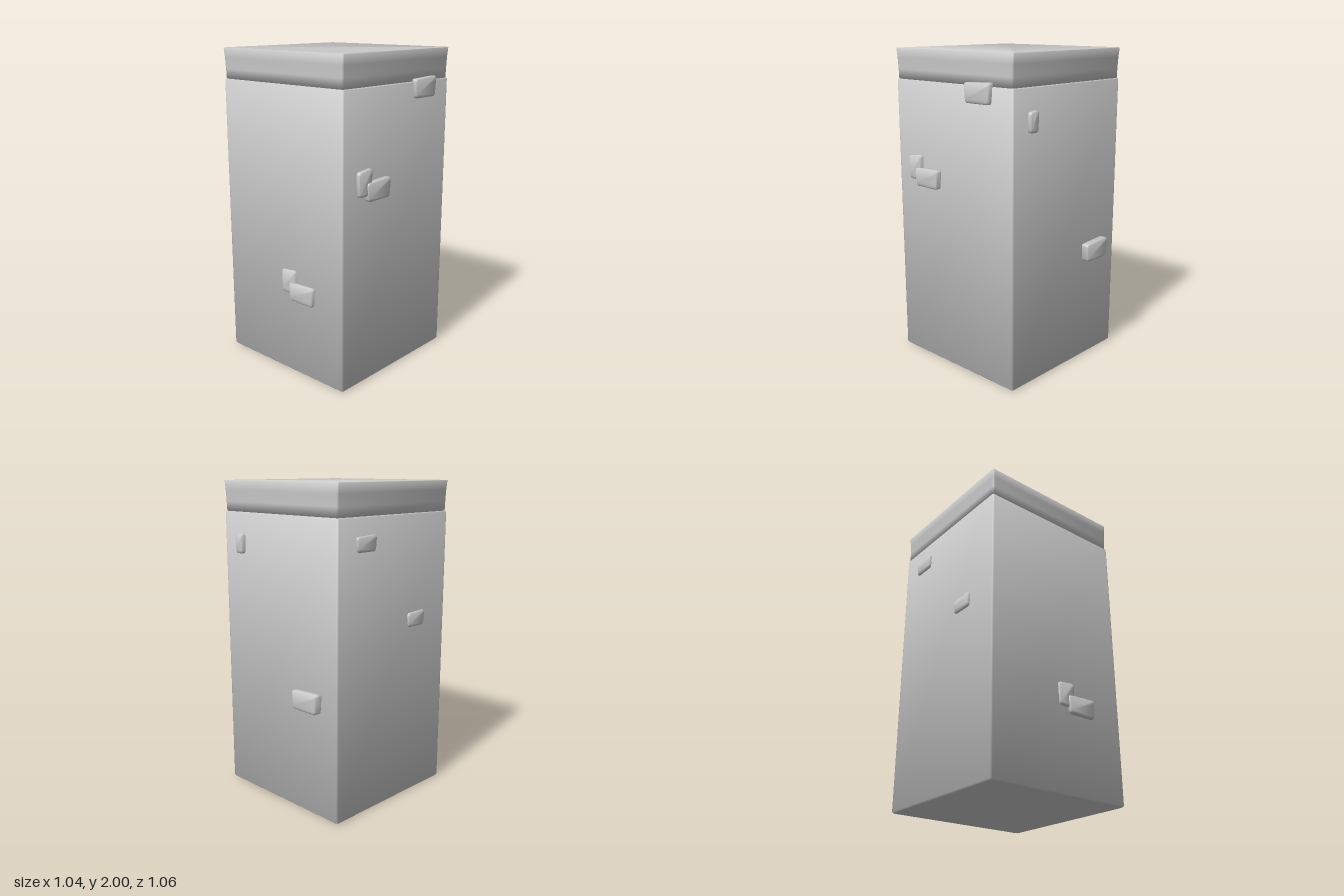
import * as THREE from 'three';

const material = new THREE.MeshStandardMaterial({ color: 0xcccccc, roughness: 0.8 });

// Quad outline (counter-clockwise) shrunk by inset, with each corner rounded
function roundedLoop(corners, radius, inset = 0) {
  const c = corners.map(([x, y]) => new THREE.Vector2(x - Math.sign(x) * inset, y - Math.sign(y) * inset));
  const loop = [];
  c.forEach((p, i) => {
    const towards = (q) => p.clone().add(q.clone().sub(p).setLength(radius));
    const a = towards(c[(i + 3) % 4]);
    const b = towards(c[(i + 1) % 4]);
    const mid = a.clone().add(b).multiplyScalar(0.25).addScaledVector(p, 0.5);
    loop.push(a, mid, b);
  });
  return loop;
}

// Closed solid through [loop, z] sections, smooth-shaded with angle-weighted normals
function loft(sections) {
  const points = sections.flatMap(([loop, z]) => loop.map((p) => new THREE.Vector3(p.x, p.y, z)));
  const n = sections[0][0].length;
  const index = [];
  for (let s = 0; s < sections.length - 1; s++) {
    for (let i = 0; i < n; i++) {
      const a = s * n + i;
      const b = s * n + ((i + 1) % n);
      index.push(a, b, b + n, a, b + n, a + n);
    }
  }
  const last = (sections.length - 1) * n;
  for (let i = 1; i < n - 1; i++) {
    index.push(0, i + 1, i, last, last + i, last + i + 1);
  }
  const normals = points.map(() => new THREE.Vector3());
  for (let t = 0; t < index.length; t += 3) {
    for (let k = 0; k < 3; k++) {
      const v = index[t + k];
      const e1 = points[index[t + ((k + 1) % 3)]].clone().sub(points[v]);
      const e2 = points[index[t + ((k + 2) % 3)]].clone().sub(points[v]);
      const angle = e1.angleTo(e2);
      normals[v].addScaledVector(e1.cross(e2).normalize(), angle);
    }
  }
  normals.forEach((v) => v.normalize());
  const geometry = new THREE.BufferGeometry();
  const flat = (list) => new THREE.Float32BufferAttribute(list.flatMap((v) => v.toArray()), 3);
  geometry.setAttribute('position', flat(points));
  geometry.setAttribute('normal', flat(normals));
  geometry.setIndex(index);
  return geometry;
}

const square = (h) => [[-h, -h], [h, -h], [h, h], [-h, h]];

// Square block from [halfWidth, height] levels, standing upright
function block(name, levels) {
  const geometry = loft(levels.map(([h, y]) => [roundedLoop(square(h), 0.012), y]));
  const mesh = new THREE.Mesh(geometry.rotateX(-Math.PI / 2), material);
  mesh.name = name;
  return mesh;
}

const HALF = 0.497;

// Slightly skewed stone with bevelled face, proud of a wall by depth
function brick(name, turn, u, y, w, h, depth) {
  const quad = [[-0.455 * w, -0.5 * h], [0.455 * w, -0.5 * h], [0.5 * w, 0.5 * h], [-0.5 * w, 0.42 * h]];
  const bevel = 0.008;
  const geometry = loft([
    [roundedLoop(quad, 0.016), -0.02],
    [roundedLoop(quad, 0.016), depth - bevel],
    [roundedLoop(quad, 0.014, bevel), depth],
  ]);
  geometry.translate(u, y, HALF).rotateY(turn);
  const mesh = new THREE.Mesh(geometry, material);
  mesh.name = name;
  return mesh;
}

export function createModel() {
  const model = new THREE.Group();
  model.name = 'stonePillar';
  const pillar = new THREE.Group();
  pillar.name = 'pillar';
  pillar.position.set(-0.01, 0, 0.012);
  model.add(pillar);

  // Shaft and the gently flared cap above its seam
  pillar.add(block('shaft', [[HALF - 0.009, 0], [HALF, 0.009], [HALF, 1.803], [HALF - 0.007, 1.81]]));
  pillar.add(block('cap', [[0.49, 1.808], [0.4915, 1.87], [0.494, 1.94], [0.498, 1.997], [0.495, 2]]));

  // Raised stones: wall turn, then [offset, height, width, tall, depth]
  const walls = [
    ['front', 0, [[0.057, 0.607, 0.125, 0.157, 0.012], [0.17, 0.55, 0.21, 0.122, 0.022]]],
    ['left', Math.PI / 2, [
      [-0.322, 1.27, 0.12, 0.16, 0.025],
      [-0.208, 1.215, 0.213, 0.122, 0.034],
      [0.237, 1.772, 0.213, 0.125, 0.025],
    ]],
    ['back', Math.PI, [[0.262, 0.727, 0.215, 0.125, 0.048], [-0.337, 1.618, 0.075, 0.127, 0.024]]],
    ['right', -Math.PI / 2, [[-0.265, 1.658, 0.168, 0.096, 0.014], [0.2, 1.158, 0.16, 0.096, 0.015]]],
  ];
  for (const [side, turn, stones] of walls) {
    stones.forEach((s, i) => pillar.add(brick(`${side}Stone${i + 1}`, turn, ...s)));
  }
  return model;
}
